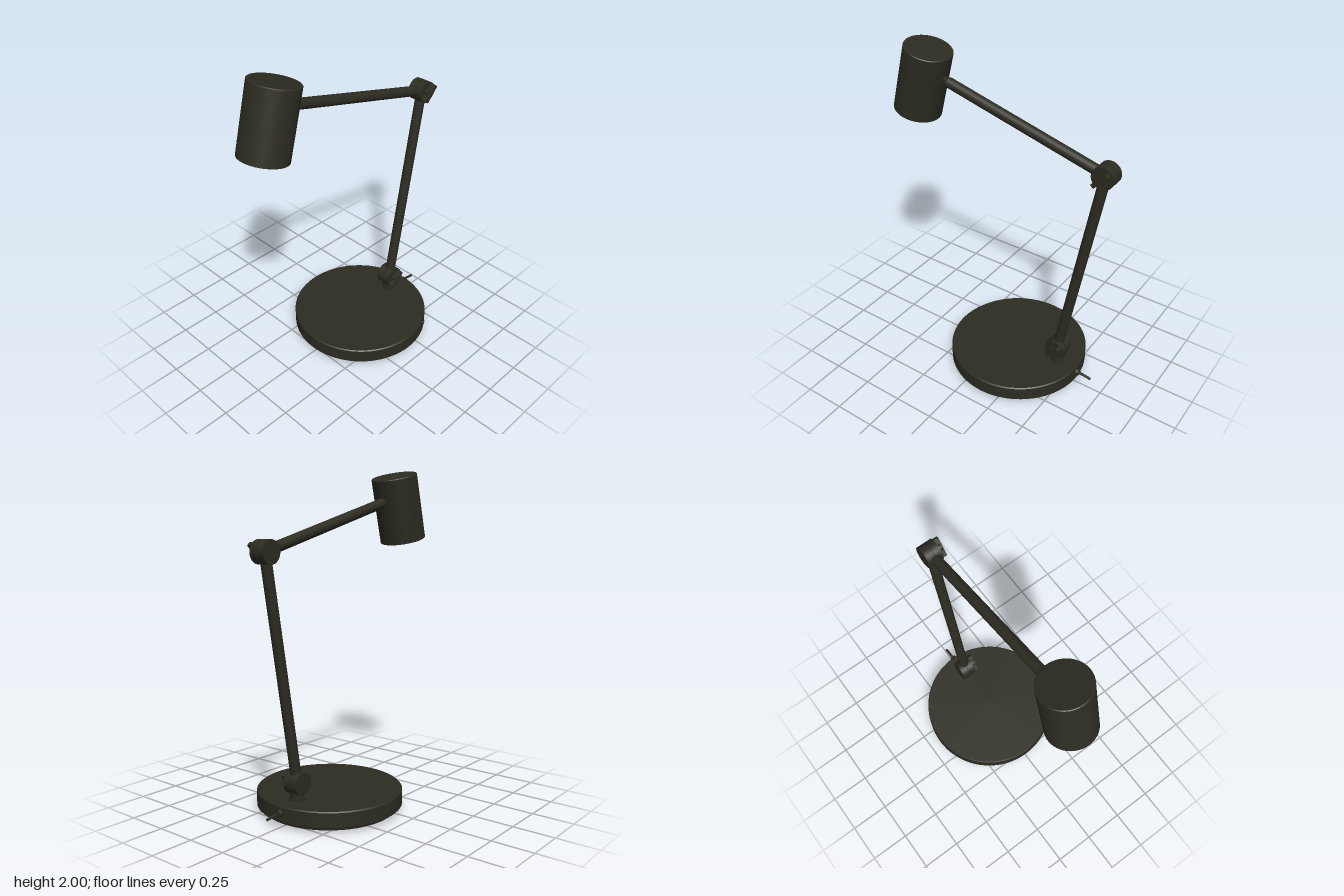
import * as THREE from 'three';

const black = new THREE.MeshStandardMaterial({ color: 0x2d2c22, side: THREE.DoubleSide });
black.name = 'warm black';
const steel = new THREE.MeshStandardMaterial({ color: 0x77776f });
steel.name = 'steel';

const BASE_Z = -0.145;
const LOW = new THREE.Vector3(0, 0.222, -0.432);
const HIGH = new THREE.Vector3(0, 1.525, -0.662);
const TILT = 0.257;

function add(parent, name, geometry, x = 0, y = 0, z = 0, material = black) {
  const mesh = new THREE.Mesh(geometry, material);
  mesh.name = name;
  mesh.position.set(x, y, z);
  parent.add(mesh);
  return mesh;
}

// Lathe whose profile corners stay sharp: one band per pair of points
function turned(parent, name, points, segments = 64) {
  const group = new THREE.Group();
  group.name = name;
  parent.add(group);
  for (let i = 0; i < points.length - 1; i++) {
    const band = [points[i], points[i + 1]].map(([r, y]) => new THREE.Vector2(r, y));
    add(group, name + 'Band', new THREE.LatheGeometry(band, segments));
  }
  return group;
}

// Round rod between two points
function rod(parent, name, a, b, r0, r1 = r0) {
  const dir = b.clone().sub(a);
  const mesh = add(parent, name, new THREE.CylinderGeometry(r1, r0, dir.length(), 24));
  mesh.position.copy(a).add(b).multiplyScalar(0.5);
  mesh.quaternion.setFromUnitVectors(new THREE.Vector3(0, 1, 0), dir.normalize());
  return mesh;
}

// Two-disc hinge with a slanted wing knob on the +x side
function hinge(parent, name, at) {
  const group = new THREE.Group();
  group.name = name;
  group.position.copy(at);
  parent.add(group);
  const disc = (part, r, width, x) =>
    add(group, part, new THREE.CylinderGeometry(r, r, width, 40), x).rotation.z = Math.PI / 2;
  disc('hingeDiscRight', 0.066, 0.046, -0.026);
  disc('hingeDiscLeft', 0.066, 0.044, 0.023);
  disc('hingePin', 0.06, 0.03, 0);
  disc('knobShaft', 0.025, 0.03, 0.055);
  add(group, 'wingKnob', new THREE.BoxGeometry(0.034, 0.116, 0.026), 0.062).rotation.x = -0.75;
}

export function createModel() {
  const lamp = new THREE.Group();
  lamp.name = 'deskLamp';

  // Round base with a recessed underside
  turned(lamp, 'base', [
    [0, 0.03], [0.426, 0.03], [0.431, 0.035], [0.431, 0.119], [0.425, 0.125], [0, 0.125],
  ], 72).position.z = BASE_Z;
  add(lamp, 'bottomPlate', new THREE.CylinderGeometry(0.398, 0.396, 0.024, 64), 0, 0.02, BASE_Z);
  for (let i = 0; i < 6; i++) {
    const a = (i + 0.5) * Math.PI / 3;
    const s = Math.sin(a), c = Math.cos(a);
    add(lamp, 'footPad', new THREE.CylinderGeometry(0.045, 0.045, 0.01, 24), 0.32 * s, 0.005, BASE_Z + 0.32 * c);
    const b = i * Math.PI / 3;
    add(lamp, 'screw', new THREE.CylinderGeometry(0.007, 0.007, 0.004, 12),
      0.35 * Math.sin(b), 0.007, BASE_Z + 0.35 * Math.cos(b), steel);
  }

  // Side button, cable sleeve and cable stub
  const button = add(lamp, 'sideButton', new THREE.CylinderGeometry(0.014, 0.014, 0.012, 16), 0.379, 0.078, -0.35);
  button.rotation.set(0, Math.atan2(0.205, 0.379), Math.PI / 2);
  rod(lamp, 'cableSleeve', new THREE.Vector3(0, 0.085, -0.56), new THREE.Vector3(0, 0.084, -0.595), 0.024, 0.02);
  const cable = new THREE.CatmullRomCurve3([
    new THREE.Vector3(0, 0.084, -0.58),
    new THREE.Vector3(0, 0.081, -0.63),
    new THREE.Vector3(0, 0.074, -0.675),
  ]);
  add(lamp, 'cable', new THREE.TubeGeometry(cable, 10, 0.008, 10));

  // Stem, hinges and arms
  rod(lamp, 'stem', new THREE.Vector3(0, 0.12, LOW.z), LOW, 0.04);
  add(lamp, 'stemCollar', new THREE.CylinderGeometry(0.044, 0.044, 0.012, 32), 0, 0.13, LOW.z);
  hinge(lamp, 'lowerHinge', LOW);
  hinge(lamp, 'upperHinge', HIGH);
  rod(lamp, 'lowerArm', LOW, HIGH, 0.031);
  const armEnd = new THREE.Vector3(0, 1.792, 0.35);
  const neckEnd = new THREE.Vector3(0, 1.802, 0.385);
  const headSide = new THREE.Vector3(0, 1.806, 0.41);
  rod(lamp, 'upperArm', HIGH, armEnd, 0.031);
  rod(lamp, 'armTip', armEnd, neckEnd, 0.031, 0.019);
  rod(lamp, 'headNeck', neckEnd, headSide, 0.019);

  // Hollow tilted shade, open at the bottom
  const shade = turned(lamp, 'shade', [
    [0, 0.19], [0.135, 0.19], [0.135, -0.203], [0.143, -0.203],
    [0.143, 0.199], [0.139, 0.203], [0, 0.203],
  ]);
  shade.position.set(0, 1.768, 0.538);
  shade.rotation.x = -TILT;

  return lamp;
}
